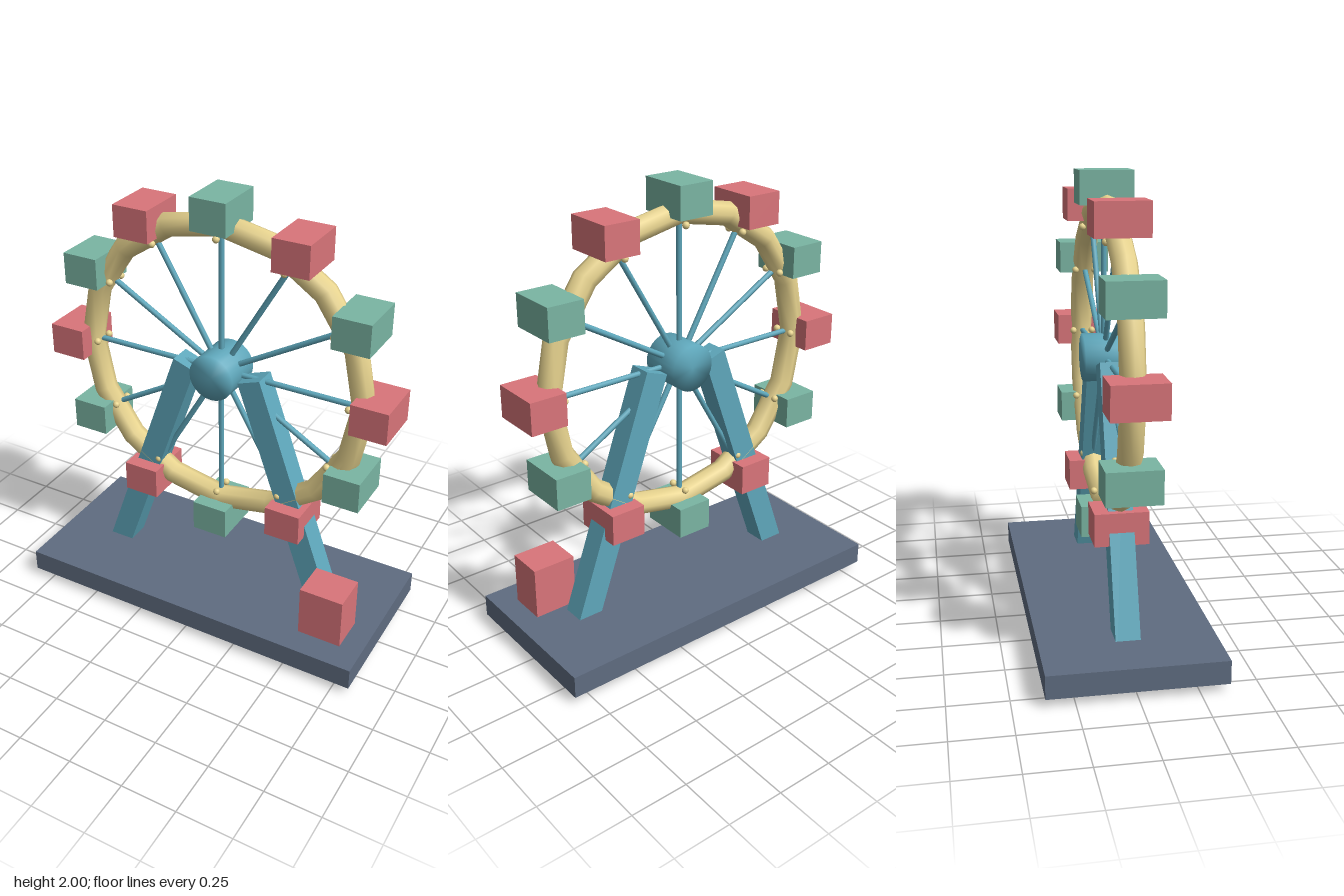
import * as THREE from 'three';
import { mergeVertices } from 'three/addons/utils/BufferGeometryUtils.js';

const material = (color) => new THREE.MeshStandardMaterial({ color });

export function createModel() {
  const model = new THREE.Group();
  model.name = 'ferrisWheel';
  const slate = material(0x5f6c80);
  const teal = material(0x5fa8bc);
  const cream = material(0xe8d48f);
  const red = material(0xd9757a);
  const green = material(0x7ab5a3);

  const add = (parent, name, geometry, mat, x = 0, y = 0, z = 0) => {
    const mesh = new THREE.Mesh(geometry, mat);
    mesh.name = name;
    mesh.position.set(x, y, z);
    parent.add(mesh);
    return mesh;
  };

  // Base and ticket booth
  add(model, 'base', new THREE.BoxGeometry(1.66, 0.1, 0.74), slate, 0, 0.09, 0);
  add(model, 'ticketBooth', new THREE.BoxGeometry(0.2, 0.24, 0.17), red, 0.63, 0.257, 0.167);

  // Slanted legs, poking slightly through the base
  for (const side of [-1, 1]) {
    const leg = add(model, side > 0 ? 'leftLeg' : 'rightLeg',
      new THREE.BoxGeometry(0.11, 1.254, 0.105), teal, side * 0.368, 0.613, 0);
    leg.rotation.z = side * 0.341;
  }

  // Wheel, centred on its axle
  const wheel = new THREE.Group();
  wheel.name = 'wheel';
  wheel.position.y = 1.2;
  model.add(wheel);
  add(wheel, 'rim', new THREE.TorusGeometry(0.665, 0.053, 8, 16), cream);

  // Hub with shading smoothed over its edges
  let hub = new THREE.CylinderGeometry(0.105, 0.105, 0.188, 24);
  hub.rotateX(Math.PI / 2);
  hub.deleteAttribute('normal');
  hub.deleteAttribute('uv');
  hub = mergeVertices(hub);
  hub.computeVertexNormals();
  add(wheel, 'hub', hub, teal);

  // Spokes, bulbs on both faces, and upright cabins
  const spokeGeometry = new THREE.CylinderGeometry(0.0125, 0.0125, 0.64, 8);
  const bulbGeometry = new THREE.SphereGeometry(0.016, 10, 8);
  const cabinGeometry = new THREE.BoxGeometry(0.165, 0.142, 0.23);
  for (let i = 0; i < 12; i++) {
    const angle = (i * Math.PI) / 6;
    const c = Math.cos(angle), s = Math.sin(angle);
    const spoke = add(wheel, 'spoke', spokeGeometry, teal, c * 0.32, s * 0.32, 0);
    spoke.rotation.z = angle - Math.PI / 2;
    for (const z of [-0.045, 0.045]) {
      add(wheel, 'bulb', bulbGeometry, cream, c * 0.615, s * 0.615, z);
    }
    add(wheel, 'cabin', cabinGeometry, i % 2 ? green : red, c * 0.73, s * 0.73, 0);
  }

  return model;
}
